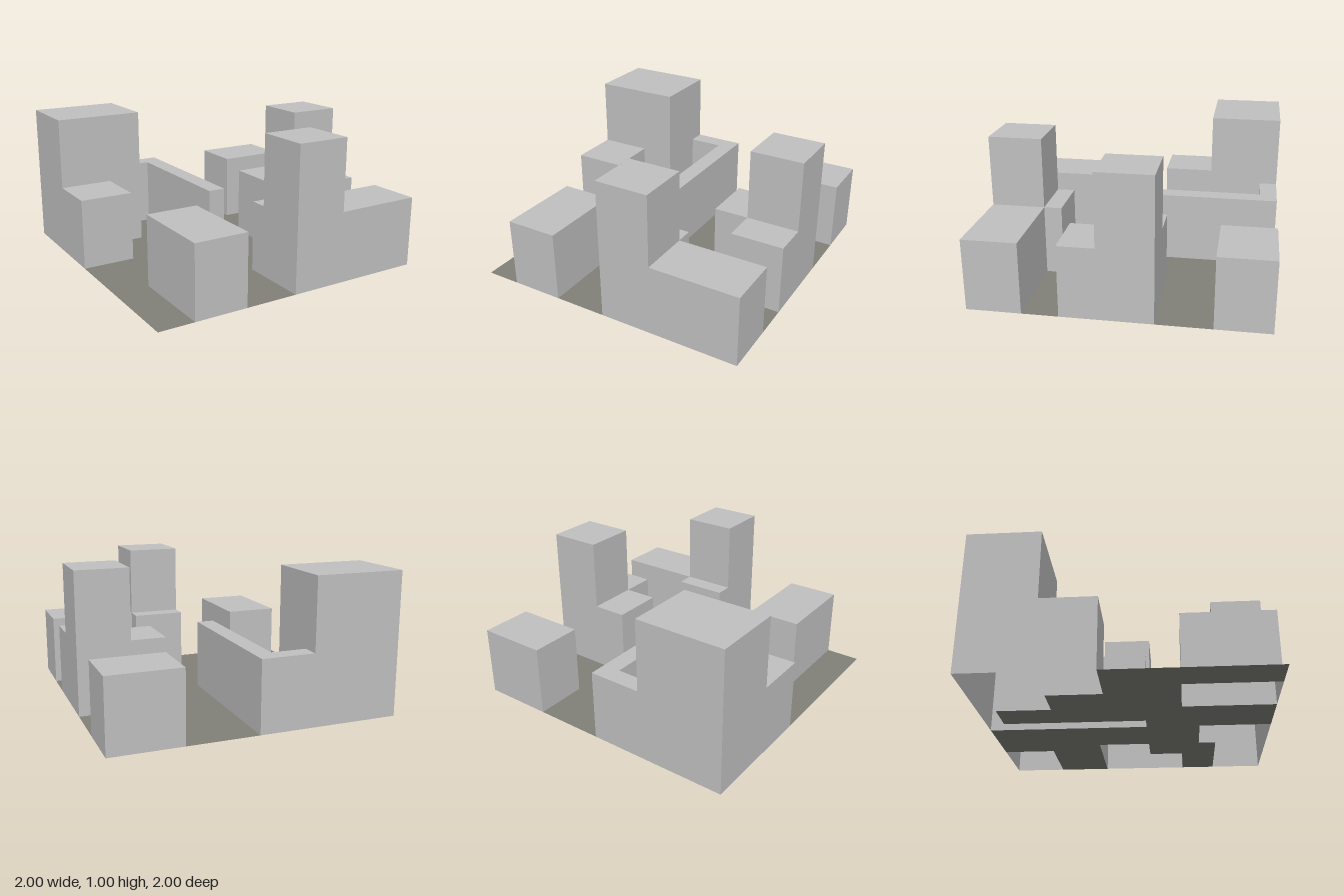
import * as THREE from 'three';

const LOW = 0.5, HIGH = 1;

// Horizontal polygon at height y, from [x, z] corners
function flat(corners, y) {
  const shape = new THREE.Shape(corners.map(([x, z]) => new THREE.Vector2(x, -z)));
  return new THREE.ShapeGeometry(shape).rotateX(-Math.PI / 2).translate(0, y, 0);
}

// Upright walls around a closed outline, facing outwards
function walls(corners, y0, y1) {
  const pos = [];
  corners.forEach(([ax, az], i) => {
    const [bx, bz] = corners[(i + 1) % corners.length];
    pos.push(ax, y0, az, ax, y1, az, bx, y1, bz, ax, y0, az, bx, y1, bz, bx, y0, bz);
  });
  const g = new THREE.BufferGeometry();
  g.setAttribute('position', new THREE.Float32BufferAttribute(pos, 3));
  g.computeVertexNormals();
  return g;
}

const rect = (x0, z0, x1, z1) => [[x0, z0], [x1, z0], [x1, z1], [x0, z1]];

export function createModel() {
  const concrete = new THREE.MeshStandardMaterial({ color: 0xc0c0c0, side: THREE.DoubleSide });
  concrete.name = 'concrete';
  const asphalt = new THREE.MeshStandardMaterial({ color: 0x807f78, side: THREE.DoubleSide });
  asphalt.name = 'asphalt';

  const model = new THREE.Group();
  model.name = 'cityBlock';
  const add = (parent, name, geometry, material) => {
    const mesh = new THREE.Mesh(geometry, material);
    mesh.name = name;
    parent.add(mesh);
  };

  // Each building: footprint, low roof pieces and an optional tower
  const buildings = {
    backLeftBuilding: {
      outline: [[-1, -1], [0, -1], [0, 0.125], [-0.125, 0.125], [-0.125, -0.875],
        [-0.375, -0.875], [-0.375, -0.5], [-0.625, -0.5], [-0.625, -0.125], [-1, -0.125]],
      roofs: [
        rect(-1, -0.5, -0.625, -0.125),
        [[-0.375, -1], [0, -1], [0, 0.125], [-0.125, 0.125], [-0.125, -0.875], [-0.375, -0.875]],
      ],
      tower: rect(-1, -1, -0.375, -0.5),
    },
    backRightBuilding: {
      outline: rect(0.5, -1, 1, -0.625),
      roofs: [rect(0.5, -1, 1, -0.625)],
    },
    middleBuilding: {
      outline: [[0.375, -0.25], [1, -0.25], [1, 0.375], [0.625, 0.375], [0.625, 0.125], [0.375, 0.125]],
      roofs: [rect(0.375, -0.25, 0.625, 0.125), rect(0.625, 0.125, 1, 0.375)],
      tower: rect(0.625, -0.25, 1, 0.125),
    },
    frontRightBuilding: {
      outline: [[0, 0.5], [0.375, 0.5], [0.375, 0.625], [1, 0.625], [1, 1], [0, 1]],
      roofs: [rect(0, 0.5, 0.375, 0.625), rect(0.375, 0.625, 1, 1)],
      tower: rect(0, 0.625, 0.375, 1),
    },
    frontLeftBuilding: {
      outline: rect(-0.75, 0.375, -0.375, 1),
      roofs: [rect(-0.75, 0.375, -0.375, 1)],
    },
  };

  for (const [name, { outline, roofs, tower }] of Object.entries(buildings)) {
    const group = new THREE.Group();
    group.name = name;
    add(group, 'lowerWalls', walls(outline, 0, LOW), concrete);
    roofs.forEach((r) => add(group, 'lowRoof', flat(r, LOW), concrete));
    if (tower) {
      add(group, 'towerWalls', walls(tower, LOW, HIGH), concrete);
      add(group, 'towerRoof', flat(tower, HIGH), concrete);
    }
    model.add(group);
  }

  // Streets fill the ground between the open-bottomed buildings
  add(model, 'streets', flat([
    [-1, -0.125], [-0.625, -0.125], [-0.625, -0.5], [-0.375, -0.5], [-0.375, -0.875],
    [-0.125, -0.875], [-0.125, 0.125], [0, 0.125], [0, -1], [0.5, -1], [0.5, -0.625],
    [1, -0.625], [1, -0.25], [0.375, -0.25], [0.375, 0.125], [0.625, 0.125], [0.625, 0.375],
    [1, 0.375], [1, 0.625], [0.375, 0.625], [0.375, 0.5], [0, 0.5], [0, 1],
    [-0.375, 1], [-0.375, 0.375], [-0.75, 0.375], [-0.75, 1], [-1, 1],
  ], 0), asphalt);

  return model;
}
